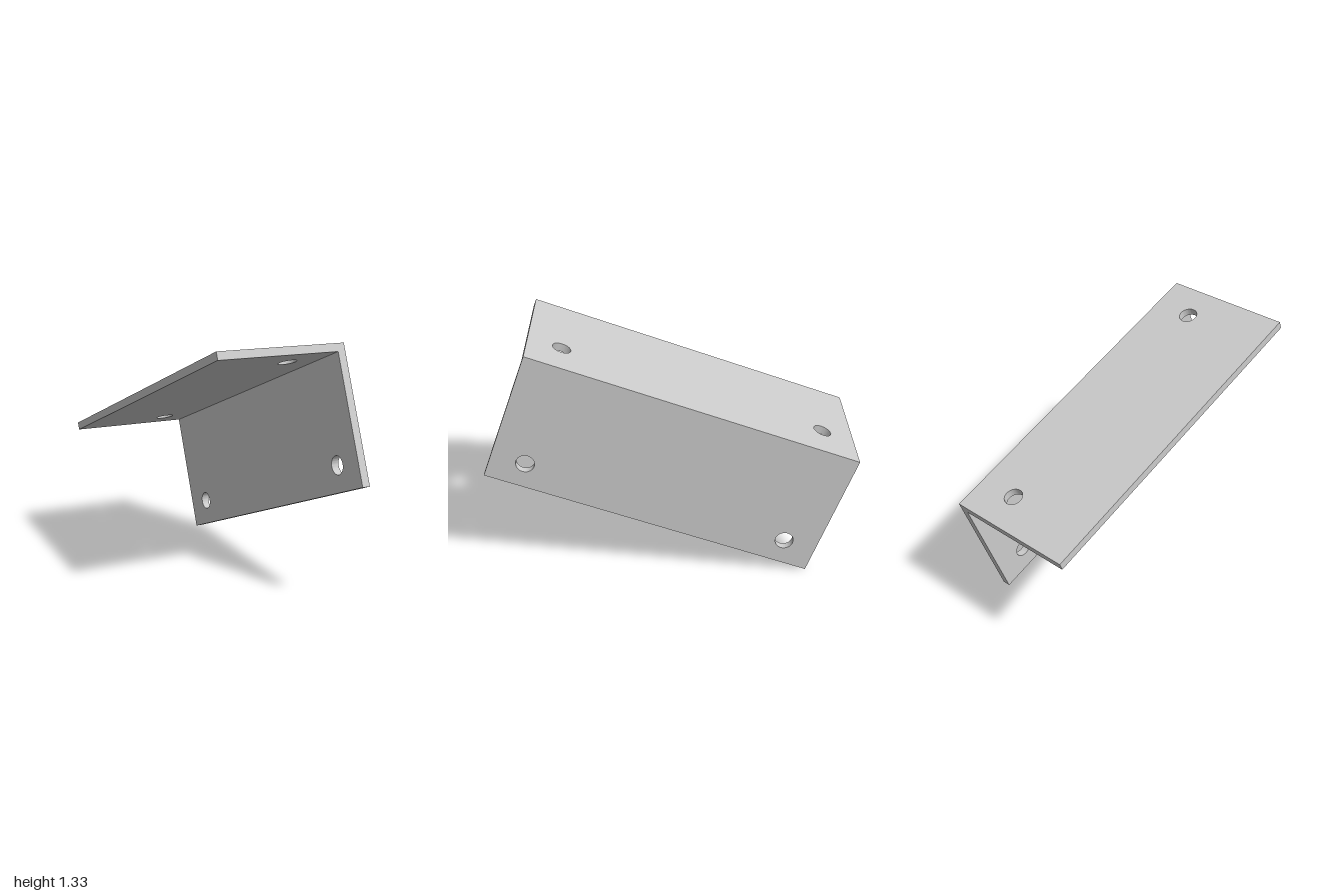
import * as THREE from 'three';
import { toCreasedNormals } from 'three/addons/utils/BufferGeometryUtils.js';

const LENGTH = 1.857, WIDTH = 0.74, THICK = 0.044;
const HOLE_RADIUS = 0.05, HOLE_SPACING = 0.743;
const TILT = THREE.MathUtils.degToRad(20);

// Flat plate with a hole near each end: length along z, b along y, thickness towards -x
function plateGeometry(bMin, bMax, holeB) {
  const half = LENGTH / 2;
  const shape = new THREE.Shape();
  shape.moveTo(-half, bMin).lineTo(half, bMin).lineTo(half, bMax).lineTo(-half, bMax).closePath();
  for (const s of [-1, 1]) {
    shape.holes.push(new THREE.Path().absarc(s * HOLE_SPACING, holeB, HOLE_RADIUS, 0, Math.PI * 2, true));
  }
  const geo = new THREE.ExtrudeGeometry(shape, { depth: THICK, bevelEnabled: false, curveSegments: 24 });
  return toCreasedNormals(geo.rotateY(-Math.PI / 2), 0.6);
}

export function createModel() {
  const model = new THREE.Group();
  model.name = 'angleBracket';
  const material = new THREE.MeshStandardMaterial({ color: 0xcccccc });
  const half = WIDTH / 2;

  // Upright flange, ending under the top flange
  const side = new THREE.Mesh(plateGeometry(-half, half - THICK, -0.229), material);
  side.name = 'sideFlange';
  side.position.x = half;

  // Top flange, laid flat across the full width
  const topGeo = plateGeometry(-half, half, 0.137).rotateZ(-Math.PI / 2);
  const top = new THREE.Mesh(topGeo, material);
  top.name = 'topFlange';
  top.position.y = half - THICK;

  // The whole bracket is pitched up at the front and stands on its lowest corner
  const bracket = new THREE.Group();
  bracket.name = 'tiltedBracket';
  bracket.add(side, top);
  bracket.rotation.x = -TILT;
  bracket.position.y = (LENGTH * Math.sin(TILT) + WIDTH * Math.cos(TILT)) / 2;
  model.add(bracket);
  return model;
}
